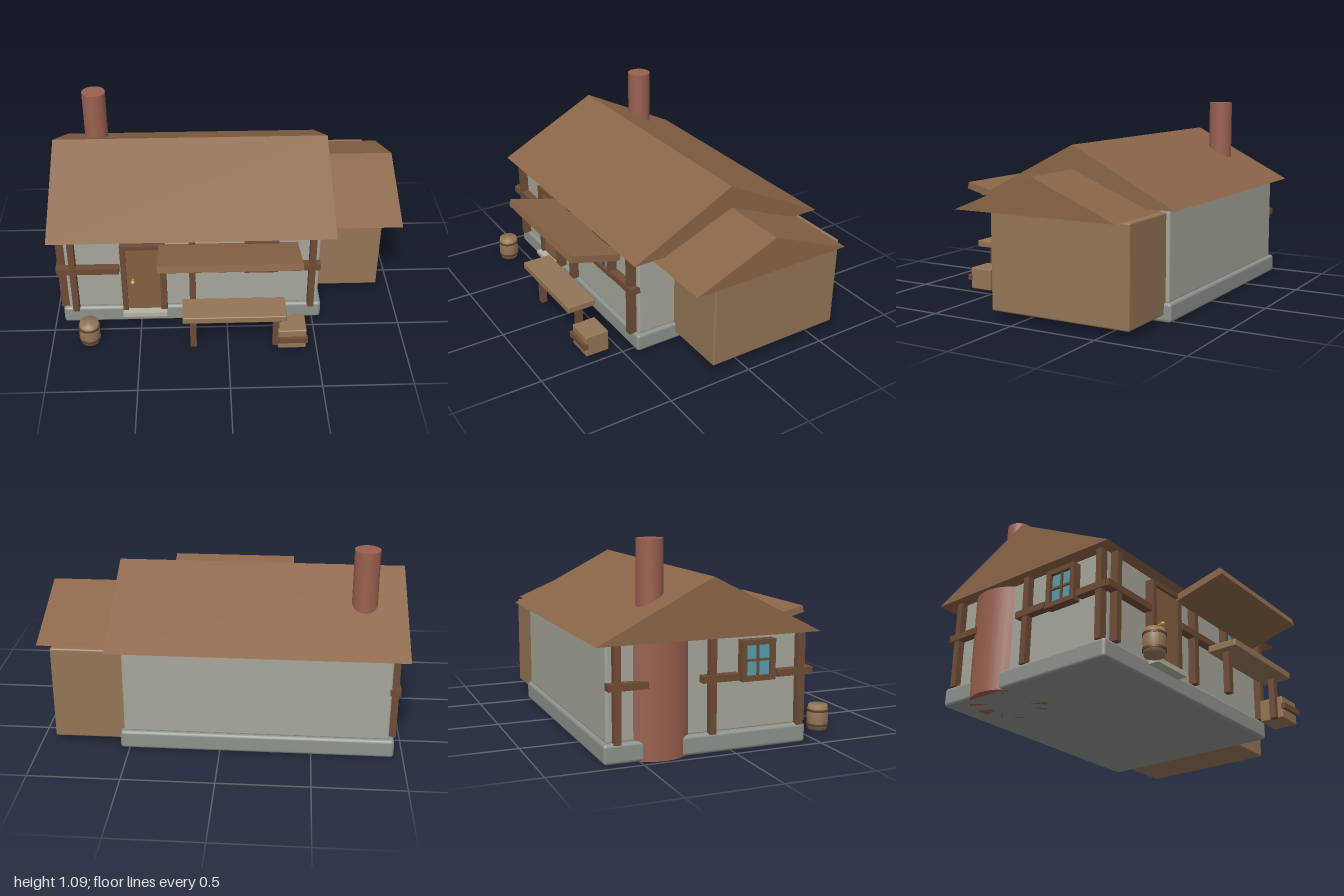
import * as THREE from 'three';
import { RoundedBoxGeometry } from 'three/addons/geometries/RoundedBoxGeometry.js';

const mat = (color, extra = {}) => new THREE.MeshStandardMaterial({ color, ...extra });
const M = {
  plaster: mat(0xa6a69a), stone: mat(0x8d928b), roof: mat(0x8b6548), beam: mat(0x6d4c35),
  door: mat(0x85603f), plank: mat(0x937556), brick: mat(0x99604f), glass: mat(0x5a9cac),
  brass: mat(0xc9a046), slab: mat(0xb5b2a0), band: mat(0x5a4030),
};

export function createModel() {
  const house = new THREE.Group();
  house.name = 'cottage';

  const add = (name, geo, material, parent = house) => {
    const mesh = new THREE.Mesh(geo, material);
    mesh.name = name;
    parent.add(mesh);
    return mesh;
  };

  // Box given by its extents, with optional rounded edges
  const box = (name, material, [x0, x1], [y0, y1], [z0, z1], r = 0, parent = house) => {
    const s = [x1 - x0, y1 - y0, z1 - z0];
    const geo = r ? new RoundedBoxGeometry(...s, 2, r) : new THREE.BoxGeometry(...s);
    const mesh = add(name, geo, material, parent);
    mesh.position.set((x0 + x1) / 2, (y0 + y1) / 2, (z0 + z1) / 2);
    return mesh;
  };

  // Solid gable roof: triangle in z/y, extruded along x
  const gable = (name, [x0, x1], [y0, y1], [z0, z1]) => {
    const shape = new THREE.Shape();
    shape.moveTo(-z1, y0);
    shape.lineTo(-z0, y0);
    shape.lineTo(-(z0 + z1) / 2, y1);
    shape.closePath();
    const geo = new THREE.ExtrudeGeometry(shape, { depth: x1 - x0, bevelEnabled: false });
    geo.rotateY(Math.PI / 2);
    geo.translate(x0, 0, 0);
    return add(name, geo, M.roof);
  };

  const cylinder = (name, material, r, y0, y1, x, z, parent = house) => {
    const mesh = add(name, new THREE.CylinderGeometry(r, r, y1 - y0, 32), material, parent);
    mesh.position.set(x, (y0 + y1) / 2, z);
    return mesh;
  };

  // Main body and side annex
  box('foundation', M.stone, [-0.95, 0.55], [0, 0.105], [-0.69, 0.43], 0.018);
  box('walls', M.plaster, [-0.92, 0.53], [0.1, 0.605], [-0.67, 0.41], 0.012);
  box('annex', M.plank, [0.45, 0.92], [0.04, 0.578], [-0.65, 0.18], 0.01);
  gable('mainRoof', [-1, 0.61], [0.6, 0.91], [-0.74, 0.48]);
  gable('annexRoof', [0.45, 1], [0.58, 0.78], [-0.62, 0.35]);

  // Chimney
  cylinder('chimneyBase', M.brick, 0.21, 0, 0.63, -0.77, -0.38);
  cylinder('chimneyStack', M.brick, 0.07, 0.55, 1.09, -0.77, -0.38);

  // Timber framing on the front wall
  for (const x of [-0.872, -0.197, 0.485])
    box('frontPost', M.beam, [x - 0.018, x + 0.018], [0.1, 0.6], [0.4, 0.455]);
  for (const span of [[-0.96, -0.61], [-0.335, 0.09], [0.3, 0.53]])
    box('frontRail', M.beam, span, [0.37, 0.407], [0.4, 0.46]);

  // Timber framing on the left-hand wall
  for (const z of [-0.62, -0.11, 0.39])
    box('sidePost', M.beam, [-0.96, -0.91], [0.1, 0.6], [z - 0.018, z + 0.018]);
  for (const span of [[-0.67, -0.46], [-0.17, 0.03], [0.25, 0.44]])
    box('sideRail', M.beam, [-0.967, -0.91], [0.37, 0.407], span);

  // Door with frame, knob and step
  box('doorPanel', M.door, [-0.575, -0.375], [0.105, 0.54], [0.4, 0.445]);
  box('doorJamb', M.beam, [-0.6, -0.57], [0.1, 0.56], [0.4, 0.46]);
  box('doorJamb', M.beam, [-0.38, -0.345], [0.1, 0.56], [0.4, 0.46]);
  box('doorLintel', M.beam, [-0.6, -0.345], [0.535, 0.562], [0.4, 0.461]);
  const knob = add('doorKnob', new THREE.SphereGeometry(0.012, 16, 12), M.brass);
  knob.position.set(-0.535, 0.32, 0.472);
  const spindle = cylinder('knobSpindle', M.brass, 0.005, 0, 0.04, -0.535, 0.455);
  spindle.position.y = 0.32;
  spindle.rotation.x = Math.PI / 2;
  box('doorStep', M.slab, [-0.6, -0.345], [0.08, 0.107], [0.4, 0.49]);

  // Framed window with cross bars, facing +z before placement
  const makeWindow = (name, x, z, turn) => {
    const g = new THREE.Group();
    g.name = name;
    const w = 0.095, h = 0.107, t = 0.027;
    box('glass', M.glass, [-w + t, w - t], [-h + t, h - t], [-0.01, 0.025], 0, g);
    for (const s of [-1, 1]) {
      const side = s * (w - t / 2), edge = s * (h - t / 2);
      box('windowStile', M.beam, [side - t / 2, side + t / 2], [-h, h], [-0.01, 0.045], 0, g);
      box('windowRail', M.beam, [-w, w], [edge - t / 2, edge + t / 2], [-0.01, 0.046], 0, g);
    }
    box('verticalBar', M.beam, [-0.006, 0.006], [-h + t, h - t], [-0.01, 0.035], 0, g);
    box('crossBar', M.beam, [-w + t, w - t], [-0.006, 0.006], [-0.01, 0.035], 0, g);
    g.position.set(x, 0.467, z);
    g.rotation.y = turn;
    house.add(g);
  };
  makeWindow('frontWindow', 0.195, 0.41, 0);
  makeWindow('sideWindow', -0.925, 0.14, -Math.PI / 2);

  // Awning that rises outwards
  const awning = box('awning', M.roof, [-0.38, 0.395], [0.56, 0.6], [0.44, 0.745]);
  awning.position.set(0.0075, 0.578, 0.592);
  awning.rotation.x = -0.25;

  // Bench
  box('benchSeat', M.plank, [-0.255, 0.32], [0.23, 0.27], [0.565, 0.735], 0.006);
  for (const x of [-0.197, 0.27])
    box('benchLeg', M.beam, [x - 0.018, x + 0.018], [0, 0.235], [0.63, 0.666]);

  // Crate with a front slat
  box('crate', M.plank, [0.28, 0.44], [0, 0.128], [0.553, 0.695], 0.007);
  box('crateSlat', M.beam, [0.28, 0.446], [0.053, 0.085], [0.685, 0.713]);

  // Barrel with hoops
  const staves = [[0, 0.012], [0.052, 0.012], [0.058, 0.05], [0.059, 0.08], [0.058, 0.11], [0.052, 0.15], [0, 0.15]];
  const barrel = add('barrel', new THREE.LatheGeometry(staves.map(p => new THREE.Vector2(...p)), 24), M.plank);
  barrel.position.set(-0.785, 0, 0.605);
  for (const y of [0.04, 0.12])
    cylinder('barrelHoop', M.band, 0.06, y - 0.006, y + 0.006, -0.785, 0.605);

  return house;
}
